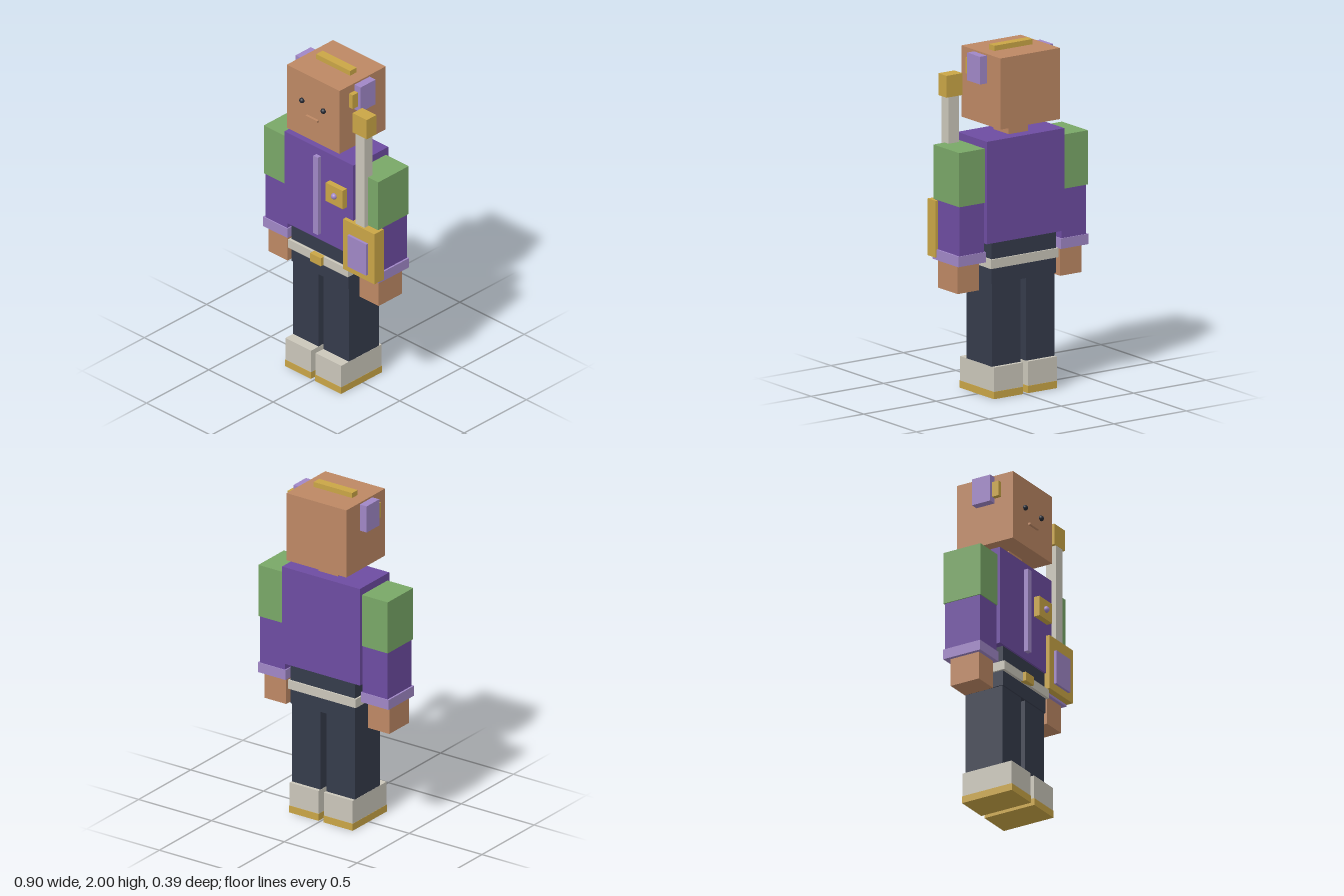
import * as THREE from 'three';

const paint = (name, color) => {
  const m = new THREE.MeshStandardMaterial({ color });
  m.name = name;
  return m;
};

export function createModel() {
  const skin = paint('skin', 0xbd8864);
  const gold = paint('gold', 0xc9a546);
  const purple = paint('purple cloth', 0x6d4ca1);
  const lilac = paint('lilac trim', 0xa087c6);
  const green = paint('green cloth', 0x79a767);
  const pale = paint('pale grey', 0xcac6ba);
  const navy = paint('navy cloth', 0x353b4b);
  const dark = paint('eye dark', 0x242832);

  const CX = -0.005; // mirror plane of the body
  const model = new THREE.Group();
  model.name = 'blockFigure';

  // Box given by its min/max extents on each axis
  const box = (name, mat, [x0, x1], [y0, y1], [z0, z1]) => {
    const mesh = new THREE.Mesh(new THREE.BoxGeometry(x1 - x0, y1 - y0, z1 - z0), mat);
    mesh.position.set((x0 + x1) / 2, (y0 + y1) / 2, (z0 + z1) / 2);
    mesh.name = name;
    model.add(mesh);
  };
  // Pair of boxes; x range is measured outwards from the mirror plane
  const pair = (name, mat, [a, b], y, z) => {
    box(name + 'Left', mat, [CX + a, CX + b], y, z);
    box(name + 'Right', mat, [CX - b, CX - a], y, z);
  };
  const centred = (name, mat, half, y, z) => box(name, mat, [CX - half, CX + half], y, z);
  const ball = (name, mat, r, x, y, z) => {
    const mesh = new THREE.Mesh(new THREE.SphereGeometry(r, 16, 12), mat);
    mesh.position.set(x, y, z);
    mesh.name = name;
    model.add(mesh);
  };

  // Head
  centred('head', skin, 0.205, [1.56, 1.97], [-0.198, 0.173]);
  centred('neck', skin, 0.066, [1.48, 1.57], [-0.085, 0.06]);
  centred('crest', gold, 0.132, [1.96, 2], [-0.04, 0.013]);
  pair('earPiece', lilac, [0.19, 0.252], [1.8, 1.96], [-0.068, 0.053]);
  pair('earClip', gold, [0.19, 0.233], [1.83, 1.92], [0.053, 0.096]);
  for (const s of [-1, 1]) ball('eye', dark, 0.016, CX + s * 0.083, 1.79, 0.177);
  centred('mouth', skin, 0.046, [1.701, 1.713], [0.16, 0.189]);

  // Torso
  centred('jacket', purple, 0.267, [0.9, 1.49], [-0.155, 0.128]);
  centred('placket', lilac, 0.018, [0.943, 1.447], [0.11, 0.154]);
  box('badge', gold, [0.083, 0.215], [1.2, 1.32], [0.11, 0.163]);
  ball('badgeGem', lilac, 0.019, 0.15, 1.26, 0.165);

  // Arms
  pair('shoulder', green, [0.262, 0.444], [1.135, 1.447], [-0.135, 0.11]);
  pair('sleeve', purple, [0.266, 0.438], [0.84, 1.14], [-0.128, 0.104]);
  pair('cuff', lilac, [0.259, 0.449], [0.79, 0.85], [-0.133, 0.112]);
  pair('hand', skin, [0.28, 0.428], [0.625, 0.8], [-0.097, 0.09]);

  // Hips and belt
  centred('hips', navy, 0.222, [0.66, 0.91], [-0.137, 0.117]);
  centred('belt', pale, 0.233, [0.75, 0.803], [-0.147, 0.135]);
  centred('buckle', gold, 0.042, [0.75, 0.803], [0.12, 0.155]);

  // Legs and shoes
  pair('leg', navy, [0.02, 0.216], [0.17, 0.67], [-0.132, 0.11]);
  pair('shoe', pale, [0.018, 0.217], [0.042, 0.182], [-0.153, 0.172]);
  pair('sole', gold, [0.017, 0.218], [0, 0.042], [-0.155, 0.174]);

  // Staff with a broad panelled block, held in front of the left arm
  box('staffShaft', pale, [0.29, 0.36], [1.1, 1.73], [0.074, 0.14]);
  box('staffCap', gold, [0.271, 0.381], [1.717, 1.843], [0.064, 0.142]);
  box('staffBlock', gold, [0.207, 0.449], [0.803, 1.13], [0.075, 0.151]);
  box('staffPanel', lilac, [0.254, 0.401], [0.847, 1.05], [0.13, 0.167]);

  return model;
}
